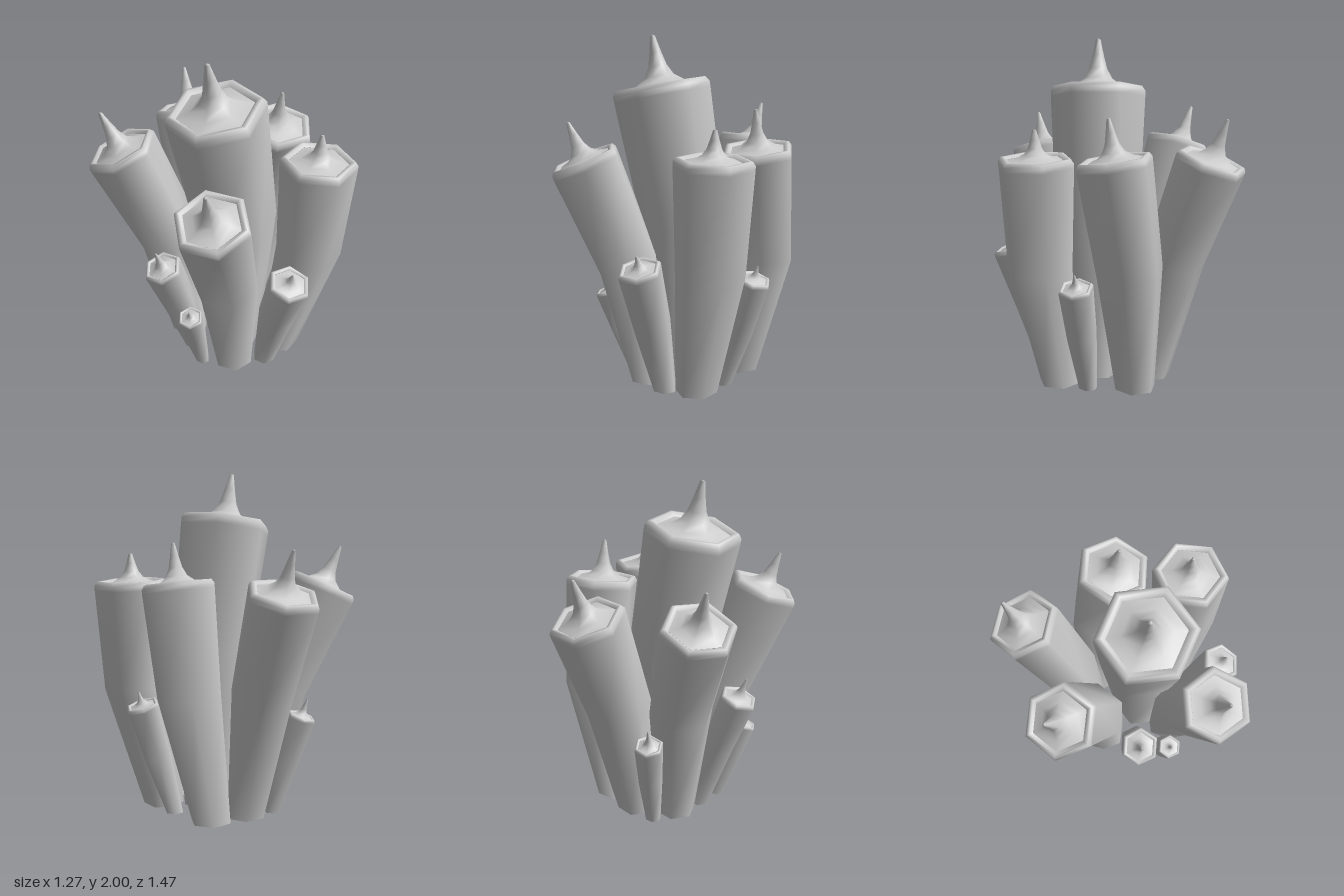
import * as THREE from 'three';

const SIDES = 6;
const UP = new THREE.Vector3(0, 1, 0);
const material = new THREE.MeshStandardMaterial({ color: 0xcccccc });

// One hexagonal cross-section, facing along a normal
function ring(center, normal, radius, phase) {
  const turn = new THREE.Quaternion().setFromUnitVectors(UP, normal);
  return Array.from({ length: SIDES }, (_, i) => {
    const a = phase + (i / SIDES) * Math.PI * 2;
    return new THREE.Vector3(Math.cos(a) * radius, 0, Math.sin(a) * radius)
      .applyQuaternion(turn).add(center);
  });
}

// Skin through successive rings, smooth around and along
function loft(rings, name) {
  const index = [];
  for (let r = 0; r < rings.length - 1; r++) {
    for (let i = 0; i < SIDES; i++) {
      const a = r * SIDES + i;
      const b = r * SIDES + ((i + 1) % SIDES);
      index.push(a, a + SIDES, b, b, a + SIDES, b + SIDES);
    }
  }
  const geometry = new THREE.BufferGeometry().setFromPoints(rings.flat());
  geometry.setIndex(index);
  geometry.computeVertexNormals();
  const mesh = new THREE.Mesh(geometry, material);
  mesh.name = name;
  return mesh;
}

// A bent tube widening upwards, with a rounded rim and a spiked lid.
// lean is the sideways slope of the upper half, which the spike follows.
function makeTube(name, [baseX, baseZ], [x, y, z], [leanX, leanZ], spike, radius, degrees = 10) {
  const phase = THREE.MathUtils.degToRad(degrees);
  const slope = new THREE.Vector3(leanX, 1, leanZ);
  const base = new THREE.Vector3(baseX, 0, baseZ);
  const top = new THREE.Vector3(x, y, z);
  const mid = top.clone().addScaledVector(slope, -0.45 * y);
  const axis = slope.clone().normalize();
  const bend = mid.clone().sub(base).normalize().add(axis).normalize();
  const foot = radius * 0.55;

  // rim profile: radius share, height share along the axis
  const rim = [[1, -0.12], [1, 0], [0.93, 0.1], [0.85, 0.1], [0.77, 0.03]].map(([r, h]) =>
    ring(top.clone().addScaledVector(axis, h * radius), axis, radius * r, phase));
  const body = loft([ring(base, UP, foot, phase), ring(mid, bend, radius * 0.88, phase), ...rim], 'tubeBody');

  // lid profile: radius share, share of the way to the tip
  const lid = loft([[0.77, 0.03], [0.5, 0.1], [0.3, 0.23], [0.19, 0.42], [0.12, 0.68], [0.05, 0.98], [0.001, 1]]
    .map(([r, f]) => ring(top.clone().addScaledVector(slope, f * spike), axis, radius * r, phase)), 'spikedLid');

  const underside = loft([ring(base, UP, 0.001, phase), ring(base, UP, foot, phase)], 'underside');

  const group = new THREE.Group();
  group.name = name;
  group.add(body, lid, underside);
  return group;
}

export function createModel() {
  const model = new THREE.Group();
  model.name = 'tubeCluster';
  model.add(
    // large tubes: base, top, lean, spike height, radius, turn
    makeTube('centreTube', [0.02, 0.13], [-0.13, 1.7, 0.12], [-0.187, 0], 0.3, 0.28, 30),
    makeTube('frontRightTube', [-0.13, 0.29], [-0.43, 1.31, 0.475], [-0.34, 0.21], 0.22, 0.215, 0),
    makeTube('frontLeftTube', [0.2, 0.34], [0.35, 1.35, 0.44], [0.04, 0.015], 0.18, 0.22, 43),
    makeTube('backRightTube', [-0.16, -0.12], [-0.43, 1.33, -0.38], [-0.33, -0.31], 0.24, 0.215, 16),
    makeTube('sideTube', [0.275, -0.11], [0.42, 1.36, 0.005], [-0.01, 0.14], 0.24, 0.22),
    makeTube('backLeftTube', [0.07, -0.2], [0.165, 1.32, -0.535], [0.11, -0.34], 0.25, 0.215, 18),
    // small tubes around the foot
    makeTube('smallFrontTube', [0.03, 0.4], [0, 0.77, 0.625], [-0.03, 0.34], 0.085, 0.125),
    makeTube('smallRightTube', [-0.24, 0.04], [-0.475, 0.76, 0.06], [-0.36, 0.02], 0.13, 0.115),
    makeTube('smallLeftTube', [0.29, 0.165], [0.495, 0.67, 0.215], [0.3, 0.08], 0.085, 0.1),
    makeTube('smallBackTube', [-0.09, -0.275], [-0.155, 0.59, -0.435], [-0.13, -0.3], 0.11, 0.085),
    makeTube('tinyRightTube', [-0.29, 0.185], [-0.43, 0.49, 0.26], [-0.3, 0.18], 0.055, 0.075),
  );
  return model;
}
